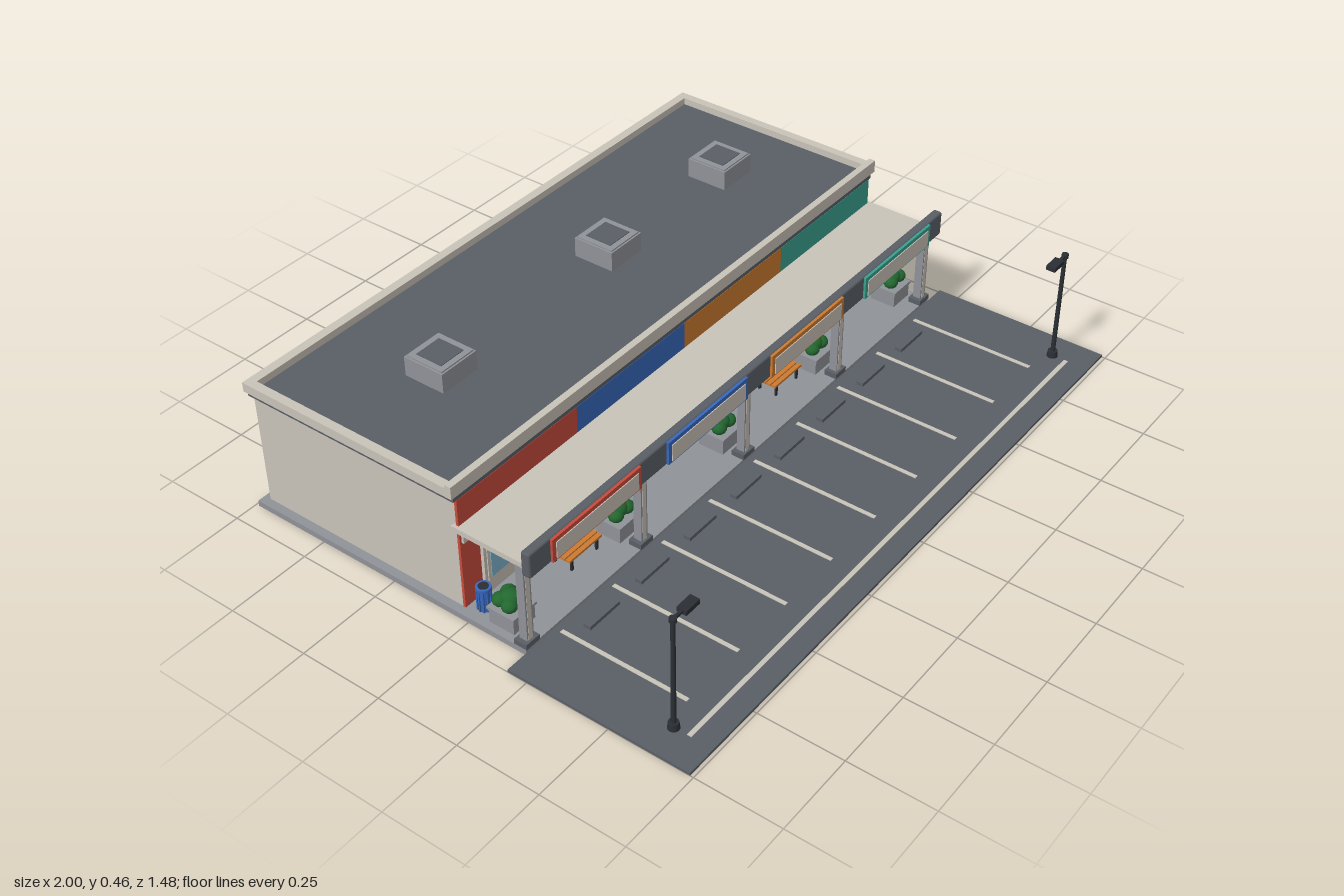
import * as THREE from 'three';
import { RoundedBoxGeometry } from 'three/addons/geometries/RoundedBoxGeometry.js';

const paint = (name, color) => {
  const m = new THREE.MeshStandardMaterial({ color });
  m.name = name;
  return m;
};

export function createModel() {
  const cream = paint('cream', 0xc9c3b8), asphalt = paint('asphalt', 0x5a5f66);
  const gray = paint('concrete', 0x8f9297), dark = paint('dark metal', 0x2b2f34);
  const red = paint('red', 0xc84b3c), blue = paint('blue', 0x3767bd);
  const orange = paint('orange', 0xcb7a30), teal = paint('teal', 0x3aa08e);
  const glass = paint('glass', 0x7db3cb), green = paint('leaf green', 0x23682f);

  const model = new THREE.Group();
  model.name = 'shoppingStrip';

  const add = (parent, name, geo, mat, x, y, z) => {
    const m = new THREE.Mesh(geo, mat);
    m.name = name;
    m.position.set(x, y, z);
    parent.add(m);
    return m;
  };
  // Box given by centre x, bottom y, centre z
  const box = (parent, name, mat, w, h, d, x, y, z) =>
    add(parent, name, new THREE.BoxGeometry(w, h, d), mat, x, y + h / 2, z);
  const cyl = (parent, name, mat, r0, r1, h, x, y, z, n = 16) =>
    add(parent, name, new THREE.CylinderGeometry(r1, r0, h, n), mat, x, y + h / 2, z);
  const group = (name, x = 0, y = 0, z = 0) => {
    const g = new THREE.Group();
    g.name = name;
    g.position.set(x, y, z);
    model.add(g);
    return g;
  };

  // Ground
  const ground = group('ground');
  box(ground, 'parkingLot', asphalt, 2, 0.008, 0.55, 0, 0, 0.465);
  box(ground, 'sidewalk', gray, 1.86, 0.018, 0.93, 0, 0, -0.275);
  for (let i = 0; i < 9; i++)
    box(ground, 'parkingLine', cream, 0.012, 0.002, 0.39, (i - 4) * 0.205, 0.008, 0.405);
  box(ground, 'laneLine', cream, 1.82, 0.002, 0.013, 0, 0.008, 0.67);
  for (let i = 0; i < 8; i++)
    box(ground, 'wheelStop', asphalt, 0.116, 0.011, 0.022, (i - 3.5) * 0.205, 0.008, 0.255);

  // Building shell, cornice and parapet
  const building = group('building');
  box(building, 'walls', cream, 1.81, 0.35, 0.685, 0, 0.018, -0.377);
  box(building, 'cornice', asphalt, 1.832, 0.02, 0.7, 0, 0.367, -0.378);
  box(building, 'roofDeck', asphalt, 1.81, 0.006, 0.68, 0, 0.387, -0.378);
  box(building, 'backParapet', cream, 1.854, 0.028, 0.027, 0, 0.386, -0.717);
  box(building, 'frontParapet', cream, 1.854, 0.038, 0.02, 0, 0.386, -0.032);
  for (const s of [-1, 1])
    box(building, 'sideParapet', cream, 0.026, 0.028, 0.668, s * 0.914, 0.386, -0.373);

  // Roof skylights
  for (const x of [-0.572, 0.112, 0.635]) {
    const g = group('skylight', x, 0.39, -0.375);
    box(g, 'skylightCurb', gray, 0.13, 0.062, 0.13, 0, 0, 0);
    box(g, 'skylightRim', gray, 0.12, 0.066, 0.12, 0, 0, 0);
    box(g, 'skylightPane', asphalt, 0.085, 0.068, 0.085, 0, 0, 0);
  }

  // Canopy and sign band
  const canopy = group('canopy');
  box(canopy, 'canopyRoof', cream, 1.83, 0.016, 0.235, 0, 0.27, 0.073);
  box(canopy, 'wallTrim', cream, 1.8, 0.028, 0.008, 0, 0.229, -0.024);
  add(canopy, 'signBand', new RoundedBoxGeometry(1.854, 0.076, 0.028, 1, 0.006), asphalt, 0, 0.299, 0.202);

  // Shop fronts
  const spacing = 0.453;
  [red, blue, orange, teal].forEach((color, i) => {
    const x = (i - 1.5) * spacing;
    const shop = group('shop' + (i + 1), x);
    box(shop, 'facade', color, spacing, 0.349, 0.008, 0, 0.018, -0.031);
    // Sign
    box(shop, 'signFrame', color, 0.342, 0.07, 0.008, 0, 0.264, 0.219);
    box(shop, 'signPanel', cream, 0.316, 0.052, 0.004, 0, 0.269, 0.2235);
    // Door
    box(shop, 'doorFrame', cream, 0.114, 0.186, 0.012, -0.102, 0.018, -0.023);
    box(shop, 'doorLeaf', cream, 0.094, 0.172, 0.006, -0.102, 0.02, -0.017);
    box(shop, 'doorGlass', glass, 0.074, 0.118, 0.003, -0.102, 0.066, -0.0135);
    box(shop, 'doorHandle', dark, 0.006, 0.03, 0.008, -0.062, 0.1, -0.01);
    // Display window with mullion and sill
    box(shop, 'windowGlass', glass, 0.188, 0.158, 0.006, 0.086, 0.071, -0.025);
    box(shop, 'windowMullion', color, 0.004, 0.158, 0.004, 0.086, 0.071, -0.021);
    box(shop, 'windowSill', dark, 0.202, 0.009, 0.018, 0.086, 0.066, -0.021);

    // Litter bin with ribs
    const bin = group('litterBin', x - 0.2, 0.018, 0.013);
    const binColor = i % 2 ? green : blue;
    cyl(bin, 'binBody', binColor, 0.016, 0.018, 0.07, 0, 0, 0);
    cyl(bin, 'binRim', binColor, 0.021, 0.021, 0.008, 0, 0.068, 0);
    cyl(bin, 'binOpening', dark, 0.014, 0.014, 0.002, 0, 0.0755, 0);
    for (let k = 0; k < 10; k++) {
      const a = k * Math.PI / 5;
      box(bin, 'binRib', binColor, 0.004, 0.066, 0.004, 0.018 * Math.cos(a), 0.002, 0.018 * Math.sin(a));
    }

    // Bench
    if (i % 2 === 0) {
      const bench = group('bench', x + 0.088, 0.018, 0.075);
      for (let k = 0; k < 3; k++)
        box(bench, 'seatSlat', orange, 0.13, 0.007, 0.014, 0, 0.036, -0.012 + k * 0.017);
      for (let k = 0; k < 2; k++)
        box(bench, 'backSlat', orange, 0.145, 0.015, 0.007, 0, 0.05 + k * 0.017, -0.026 - k * 0.003);
      for (const s of [-1, 1]) {
        box(bench, 'backLeg', dark, 0.008, 0.078, 0.006, s * 0.05, 0, -0.034);
        box(bench, 'frontLeg', dark, 0.008, 0.036, 0.006, s * 0.05, 0, 0.022);
        box(bench, 'legRail', dark, 0.008, 0.006, 0.06, s * 0.05, 0.03, -0.006);
      }
    }
  });

  // Columns and planters
  const leafSpots = [[0, 0.075, 0, 0.03], [-0.022, 0.07, 0.014, 0.022], [0.022, 0.07, 0.012, 0.023],
    [0.015, 0.07, -0.02, 0.023], [-0.018, 0.072, -0.018, 0.023]];
  for (let i = -2; i <= 2; i++) {
    const col = group('canopyColumn', i * 0.4525, 0.018, 0.172);
    box(col, 'columnBase', asphalt, 0.05, 0.016, 0.04, 0, 0, 0);
    box(col, 'columnPost', gray, 0.025, 0.254, 0.025, 0, 0, 0);
    box(col, 'columnFace', cream, 0.015, 0.25, 0.027, 0, 0.002, 0);

    const planter = group('planter', Math.abs(i) === 2 ? i * 0.434 : i * 0.45, 0.018, 0.093);
    box(planter, 'planterBox', gray, 0.08, 0.046, 0.08, 0, 0, 0);
    box(planter, 'planterRim', gray, 0.088, 0.008, 0.088, 0, 0.044, 0);
    for (const [x, y, z, r] of leafSpots) {
      const leaf = add(planter, 'shrub', new THREE.IcosahedronGeometry(r, 1), green, x, y, z);
      leaf.scale.y = 0.85;
    }
  }

  // Street lamps, arms pointing inward
  for (const s of [-1, 1]) {
    const lamp = group('streetLamp', s * 0.91, 0.008, 0.625);
    cyl(lamp, 'lampBase', dark, 0.016, 0.014, 0.02, 0, 0, 0);
    cyl(lamp, 'lampPole', dark, 0.007, 0.006, 0.35, 0, 0, 0, 12);
    cyl(lamp, 'poleCap', dark, 0.01, 0.01, 0.012, 0, 0.343, 0, 12);
    box(lamp, 'lampArm', dark, 0.05, 0.007, 0.008, -s * 0.022, 0.346, 0);
    box(lamp, 'lampHead', dark, 0.052, 0.014, 0.028, -s * 0.058, 0.342, 0);
    box(lamp, 'lampLens', cream, 0.04, 0.003, 0.02, -s * 0.058, 0.3395, 0);
  }

  return model;
}
